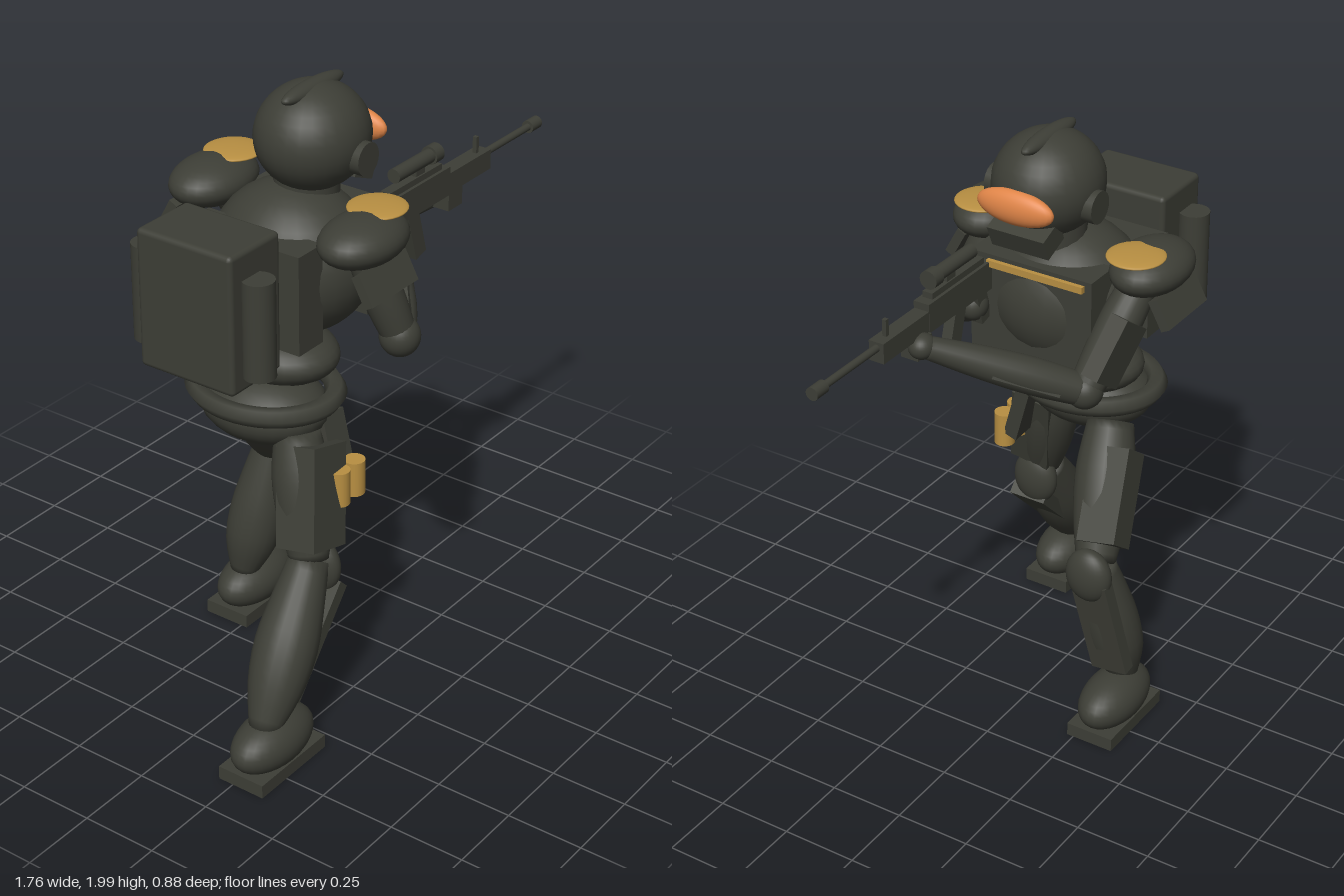
import * as THREE from 'three';
import { RoundedBoxGeometry } from 'three/addons/geometries/RoundedBoxGeometry.js';

const V = (p) => new THREE.Vector3(...p);

export function createModel() {
  const root = new THREE.Group();
  root.name = 'armouredSoldier';
  const armour = new THREE.MeshStandardMaterial({ color: 0x3d3e36 });
  armour.name = 'dark olive armour';
  const gold = new THREE.MeshStandardMaterial({ color: 0xb88f42 });
  gold.name = 'gold trim';
  const orange = new THREE.MeshStandardMaterial({ color: 0xe08548 });
  orange.name = 'orange visor';

  const add = (name, geo, pos, mat = armour) => {
    const m = new THREE.Mesh(geo, mat);
    m.name = name;
    m.position.set(...pos);
    root.add(m);
    return m;
  };
  const ball = (name, pos, r, mat) => {
    const m = add(name, new THREE.SphereGeometry(1, 28, 18), pos, mat);
    m.scale.set(...r);
    return m;
  };
  const box = (name, pos, size, rot = [0, 0, 0], mat) => {
    const m = add(name, new THREE.BoxGeometry(...size), pos, mat);
    m.rotation.set(...rot);
    return m;
  };
  // Upright cylinder, or one lying along x or z
  const rod = (name, pos, r, len, axis = 'y', mat) => {
    const m = add(name, new THREE.CylinderGeometry(r, r, len, 20), pos, mat);
    if (axis === 'x') m.rotation.z = -Math.PI / 2;
    if (axis === 'z') m.rotation.x = Math.PI / 2;
    return m;
  };
  // Muscle-shaped limb between two joints, radii spaced evenly from a to b
  const limb = (name, a, b, radii) => {
    const A = V(a), dir = V(b).sub(A), len = dir.length();
    const curve = new THREE.SplineCurve(radii.map((r, i) =>
      new THREE.Vector2(r, len * i / (radii.length - 1))));
    const pts = [new THREE.Vector2(0, 0), ...curve.getPoints(12), new THREE.Vector2(0, len)];
    const m = add(name, new THREE.LatheGeometry(pts, 20), a);
    m.quaternion.setFromUnitVectors(new THREE.Vector3(0, 1, 0), dir.normalize());
    return m;
  };
  // Box whose length follows a to b; depth faces z as nearly as possible
  const plate = (name, a, b, width, depth) => {
    const A = V(a), B = V(b), y = B.clone().sub(A), len = y.length();
    y.normalize();
    const x = new THREE.Vector3().crossVectors(y, new THREE.Vector3(0, 0, 1)).normalize();
    const z = new THREE.Vector3().crossVectors(x, y);
    const m = add(name, new THREE.BoxGeometry(width, len, depth), A.add(B).multiplyScalar(0.5).toArray());
    m.quaternion.setFromRotationMatrix(new THREE.Matrix4().makeBasis(x, y, z));
    return m;
  };

  // Head and helmet
  ball('helmet', [-0.143, 1.828, 0.018], [0.185, 0.165, 0.172]);
  ball('helmetCrest', [-0.142, 1.972, 0.018], [0.145, 0.028, 0.033]);
  ball('visor', [0.037, 1.81, 0.022], [0.037, 0.056, 0.133], orange);
  rod('earPieces', [-0.13, 1.79, 0.02], 0.052, 0.38, 'z');
  box('chinGuard', [-0.015, 1.705, 0.02], [0.095, 0.075, 0.2], [0, 0, -0.4]);
  rod('neck', [-0.15, 1.66, 0], 0.1, 0.12);

  // Torso
  ball('chest', [-0.2, 1.45, -0.015], [0.235, 0.24, 0.26]);
  box('chestPlate', [-0.06, 1.445, -0.01], [0.13, 0.33, 0.43]);
  box('chestTrim', [0.01, 1.585, -0.03], [0.02, 0.022, 0.34], [0, 0, 0], gold);
  box('backPlate', [-0.385, 1.43, -0.02], [0.115, 0.32, 0.42]);
  ball('waist', [-0.283, 1.167, -0.02], [0.167, 0.09, 0.21]);
  ball('hips', [-0.357, 1.02, -0.01], [0.168, 0.115, 0.215]);
  const belt = add('belt', new THREE.TorusGeometry(0.191, 0.031, 6, 40), [-0.342, 1.065, -0.015]);
  belt.rotation.x = Math.PI / 2;
  belt.scale.y = 1.17;

  // Backpack with a cylinder on each side
  add('backpack', new RoundedBoxGeometry(0.23, 0.445, 0.345, 2, 0.016), [-0.592, 1.458, -0.02]);
  for (const z of [-0.225, 0.18]) rod('backpackCylinder', [-0.617, 1.437, z], 0.05, 0.31);

  // Shoulders
  const shoulders = [
    { x: -0.265, z: 0.29, s: 1, trimX: -0.182 },
    { x: -0.19, z: -0.32, s: -1, trimX: -0.108 },
  ];
  for (const { x, z, s, trimX } of shoulders) {
    ball('shoulderPad', [x, 1.614, z], [0.165, 0.075, 0.118]);
    ball('shoulderTrim', [trimX, 1.679, z - s * 0.01], [0.093, 0.013, 0.091], gold);
    box('upperArmPlate', [x - 0.01, 1.512, z + s * 0.085], [0.228, 0.1, 0.032], [-s * 0.5, 0, 0]);
  }

  // Left arm, hand on the grip
  const elbowL = [-0.19, 1.29, 0.37], handL = [0.035, 1.44, 0.175];
  limb('leftUpperArm', [-0.26, 1.6, 0.275], elbowL, [0.05, 0.062, 0.062, 0.052]);
  ball('leftElbow', elbowL, [0.063, 0.065, 0.063]);
  limb('leftForearm', elbowL, handL, [0.05, 0.06, 0.052, 0.038]);
  plate('leftForearmPlate', [-0.14, 1.335, 0.365], [-0.02, 1.415, 0.265], 0.08, 0.03);
  ball('leftHand', handL, [0.05, 0.05, 0.045]);

  // Right arm, reaching under the handguard
  const elbowR = [0.07, 1.285, -0.245], handR = [0.385, 1.475, 0.125];
  limb('rightUpperArm', [-0.17, 1.6, -0.31], elbowR, [0.05, 0.065, 0.063, 0.052]);
  plate('rightUpperArmPlate', [-0.05, 1.49, -0.325], [0.065, 1.325, -0.29], 0.14, 0.06);
  ball('rightElbow', elbowR, [0.058, 0.058, 0.058]);
  limb('rightForearm', elbowR, handR, [0.05, 0.058, 0.05, 0.034]);
  plate('rightForearmPlate', [0.14, 1.31, -0.2], [0.27, 1.39, -0.045], 0.05, 0.05);
  ball('rightHand', handR, [0.045, 0.04, 0.042]);
  box('rightGlove', [0.378, 1.468, 0.15], [0.075, 0.062, 0.06]);

  // Rifle
  const gz = 0.156;
  box('rifleStock', [-0.03, 1.54, gz], [0.07, 0.1, 0.045]);
  box('rifleReceiver', [0.17, 1.542, gz], [0.34, 0.095, 0.055]);
  box('rifleRail', [0.17, 1.6, gz], [0.275, 0.02, 0.035]);
  box('rifleHandguard', [0.455, 1.533, gz], [0.23, 0.066, 0.052]);
  rod('rifleBarrel', [0.7, 1.546, gz], 0.012, 0.27, 'x');
  rod('rifleMuzzle', [0.853, 1.546, gz], 0.021, 0.054, 'x');
  box('rifleFrontSight', [0.522, 1.59, gz], [0.014, 0.06, 0.014]);
  box('rifleMagazine', [0.18, 1.42, gz], [0.055, 0.165, 0.036], [0, 0, 0.28]);
  box('rifleGrip', [0.035, 1.45, gz], [0.05, 0.12, 0.036], [0, 0, -0.25]);
  rod('rifleScope', [0.17, 1.647, gz], 0.023, 0.19, 'x');
  rod('scopeLens', [0.283, 1.647, gz], 0.03, 0.04, 'x');
  box('scopeMount', [0.2, 1.615, gz], [0.045, 0.04, 0.025]);

  // Left leg, stretched back
  const kneeL = [-0.46, 0.6, 0.235];
  limb('leftThigh', [-0.39, 0.98, 0.14], kneeL, [0.07, 0.09, 0.085, 0.062]);
  plate('leftThighPlate', [-0.38, 0.95, 0.185], [-0.465, 0.65, 0.245], 0.165, 0.14);
  ball('leftKnee', [-0.415, 0.558, 0.235], [0.047, 0.097, 0.08]);
  limb('leftShin', kneeL, [-0.755, 0.15, 0.28], [0.062, 0.083, 0.098, 0.085, 0.045]);
  plate('leftShinPlate', [-0.395, 0.5, 0.25], [-0.67, 0.235, 0.275], 0.045, 0.13);

  // Right leg, bent forward
  const kneeR = [-0.002, 0.62, -0.25];
  limb('rightThigh', [-0.25, 0.98, -0.15], kneeR, [0.075, 0.095, 0.088, 0.062]);
  plate('rightThighPlate', [-0.19, 0.93, -0.215], [-0.01, 0.69, -0.27], 0.12, 0.13);
  ball('rightKnee', [0.047, 0.602, -0.255], [0.05, 0.093, 0.08]);
  limb('rightShin', kneeR, [-0.1, 0.15, -0.31], [0.062, 0.08, 0.092, 0.085, 0.042]);
  plate('rightShinPlate', [0.05, 0.58, -0.265], [-0.01, 0.235, -0.315], 0.045, 0.13);

  // Boots
  for (const [x, z] of [[-0.712, 0.28], [-0.035, -0.31]]) {
    ball('boot', [x, 0.103, z], [0.168, 0.087, 0.095]);
    box('bootSole', [x, 0.03, z], [0.315, 0.045, 0.165]);
  }

  // Holster and pouches on the left hip
  box('holster', [-0.29, 0.905, 0.2], [0.1, 0.21, 0.05], [-0.3, 0, -0.08]);
  for (const x of [-0.352, -0.275]) rod('pouch', [x, 0.815, 0.268], 0.034, 0.115, 'y', gold);

  return root;
}
